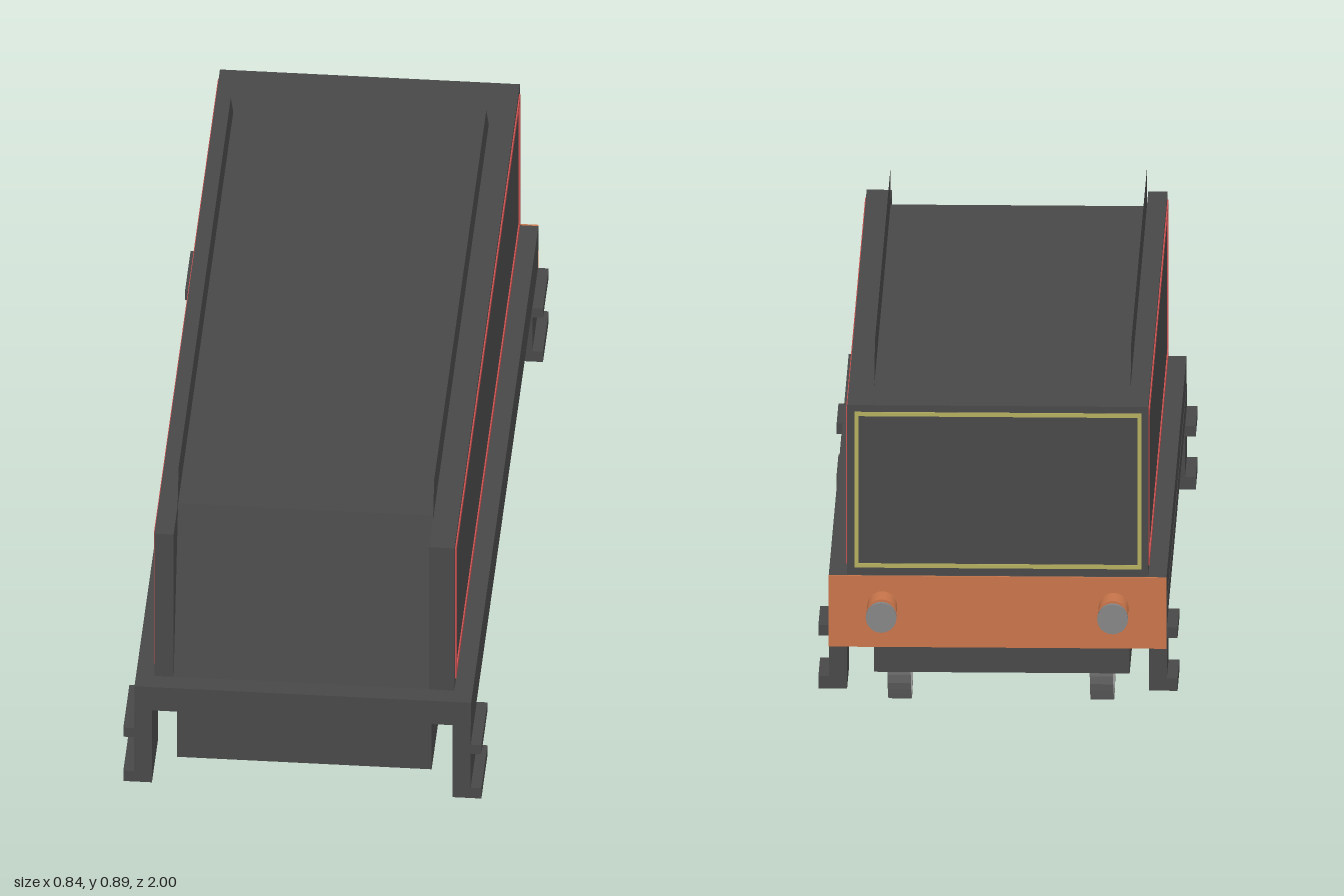
import * as THREE from 'three';

const mat = (name, color, extra = {}) => {
  const m = new THREE.MeshStandardMaterial({ color, ...extra });
  m.name = name;
  return m;
};

export function createModel() {
  const body = mat('charcoal', 0x484848);
  const sheet = mat('charcoal sheet', 0x484848, { side: THREE.DoubleSide });
  const steel = mat('steel grey', 0x858585);
  const orange = mat('buffer orange', 0xc8754a);
  const red = mat('red lining', 0xc8504f);
  const yellow = mat('yellow lining', 0xb5ae60);

  const root = new THREE.Group();
  root.name = 'tender';

  const add = (name, geo, material, parent = root) => {
    const m = new THREE.Mesh(geo, material);
    m.name = name;
    parent.add(m);
    return m;
  };
  // Box given by its extents on each axis
  const box = (name, material, x0, x1, y0, y1, z0, z1, parent = root) => {
    const g = new THREE.BoxGeometry(Math.abs(x1 - x0), y1 - y0, z1 - z0);
    g.translate((x0 + x1) / 2, (y0 + y1) / 2, (z0 + z1) / 2);
    return add(name, g, material, parent);
  };
  const polygon = (pts) => new THREE.Shape(pts.map(([a, b]) => new THREE.Vector2(a, b)));
  // Extrude a (z, y) shape along x from x0 to x1
  const extrudeX = (shape, x0, x1, curveSegments = 12) => {
    const g = new THREE.ExtrudeGeometry(shape, { depth: x1 - x0, bevelEnabled: false, curveSegments });
    return g.rotateY(-Math.PI / 2).translate(x1, 0, 0);
  };
  // Flat rectangular outline in the shape plane
  const frame = (a0, a1, b0, b1, w) => {
    const s = polygon([[a0, b0], [a1, b0], [a1, b1], [a0, b1]]);
    s.holes.push(polygon([[a0 + w, b0 + w], [a0 + w, b1 - w], [a1 - w, b1 - w], [a1 - w, b0 + w]]));
    return s;
  };

  // Tank: bunker with a sloping front between two side walls
  add('bunker', extrudeX(polygon([[-0.885, 0.39], [0.955, 0.39], [0.83, 0.803], [-0.885, 0.803]]), -0.305, 0.293), body);
  box('sideWall', body, -0.35, -0.305, 0.39, 0.803, -0.885, 0.955);
  box('sideWall', body, 0.293, 0.352, 0.39, 0.803, -0.885, 0.955);

  // Upright sheets along the bunker edges
  const coaming = new THREE.ShapeGeometry(polygon([[0.845, 0.803], [0.815, 0.895], [-0.65, 0.895], [-0.72, 0.803]]));
  coaming.rotateY(-Math.PI / 2);
  for (const x of [-0.305, 0.293]) add('coaming', coaming, sheet).position.x = x;

  // Lining on the sides and back
  const sideLine = frame(-0.865, 0.935, 0.413, 0.79, 0.016);
  add('sideLining', extrudeX(sideLine, 0.352, 0.355), red);
  add('sideLining', extrudeX(sideLine, -0.353, -0.35), red);
  const backLine = new THREE.ExtrudeGeometry(frame(-0.335, 0.335, 0.41, 0.787, 0.01), { depth: 0.003, bevelEnabled: false });
  add('backLining', backLine.translate(0, 0, -0.888), yellow);

  // Chassis
  box('runningBoard', body, -0.393, 0.395, 0.325, 0.392, -0.89, 1);
  box('innerFrame', body, -0.303, 0.293, 0.11, 0.325, -0.72, 0.885);
  box('rearBeam', body, -0.35, 0.35, 0.22, 0.325, -0.89, -0.86);
  box('bufferBeamFace', orange, -0.393, 0.395, 0.22, 0.392, -0.895, -0.89);

  for (const s of [-1, 1]) {
    box('valance', body, s * 0.352, s * 0.394, 0.275, 0.325, -0.73, 0.83);
    // Step plates with two treads at each corner
    for (const [z0, z1] of [[0.83, 1], [-0.89, -0.73]]) {
      const step = new THREE.Group();
      step.name = 'steps';
      root.add(step);
      box('stepPlate', body, s * 0.352, s * 0.394, 0.117, 0.325, z0, z1, step);
      box('upperTread', body, s * 0.394, s * 0.419, 0.245, 0.271, z0, z1, step);
      box('lowerTread', body, s * 0.394, s * 0.419, 0.117, 0.147, z0, z1, step);
    }

    // Buffers
    const buffer = new THREE.Group();
    buffer.name = 'buffer';
    buffer.position.set(s * 0.27, 0.32, 0);
    root.add(buffer);
    const rod = (name, material, r, z0, z1) => {
      const g = new THREE.CylinderGeometry(r, r, z1 - z0, 20).rotateX(Math.PI / 2);
      add(name, g.translate(0, 0, (z0 + z1) / 2), material, buffer);
    };
    rod('bufferSocket', orange, 0.035, -0.965, -0.895);
    rod('bufferStem', steel, 0.012, -0.99, -0.965);
    rod('bufferHead', steel, 0.036, -1, -0.988);
  }

  // Wheels and axle boxes
  const R = 0.169, half = 0.027;
  const ring = new THREE.Shape().absarc(0, 0, R, 0, Math.PI * 2);
  ring.holes.push(new THREE.Path().absarc(0, 0, R - 0.012, 0, Math.PI * 2, true));
  const rimGeo = extrudeX(ring, -half, half, 20);
  const hubGeo = new THREE.CylinderGeometry(0.03, 0.03, half * 2, 20).rotateZ(Math.PI / 2);
  const spokeGeo = new THREE.BoxGeometry(0.03, 0.135, 0.011).translate(0, 0.0925, 0);
  const axleBox = polygon([[-0.043, 0.15], [0.043, 0.15], [0.07, 0.275], [-0.07, 0.275]]);
  const SPOKES = 30;
  for (const z of [0.62, 0.045, -0.535]) {
    for (const s of [-1, 1]) {
      const wheel = new THREE.Group();
      wheel.name = 'wheel';
      wheel.position.set(s * 0.236, R, z);
      root.add(wheel);
      add('rim', rimGeo, steel, wheel);
      add('hub', hubGeo, steel, wheel);
      for (let i = 0; i < SPOKES; i++) {
        add('spoke', spokeGeo, steel, wheel).rotation.x = ((i + 0.5) / SPOKES) * Math.PI * 2;
      }
      const [x0, x1] = s > 0 ? [0.293, 0.352] : [-0.352, -0.303];
      add('axleBox', extrudeX(axleBox, x0, x1), steel).position.z = z;
    }
  }
  return root;
}
